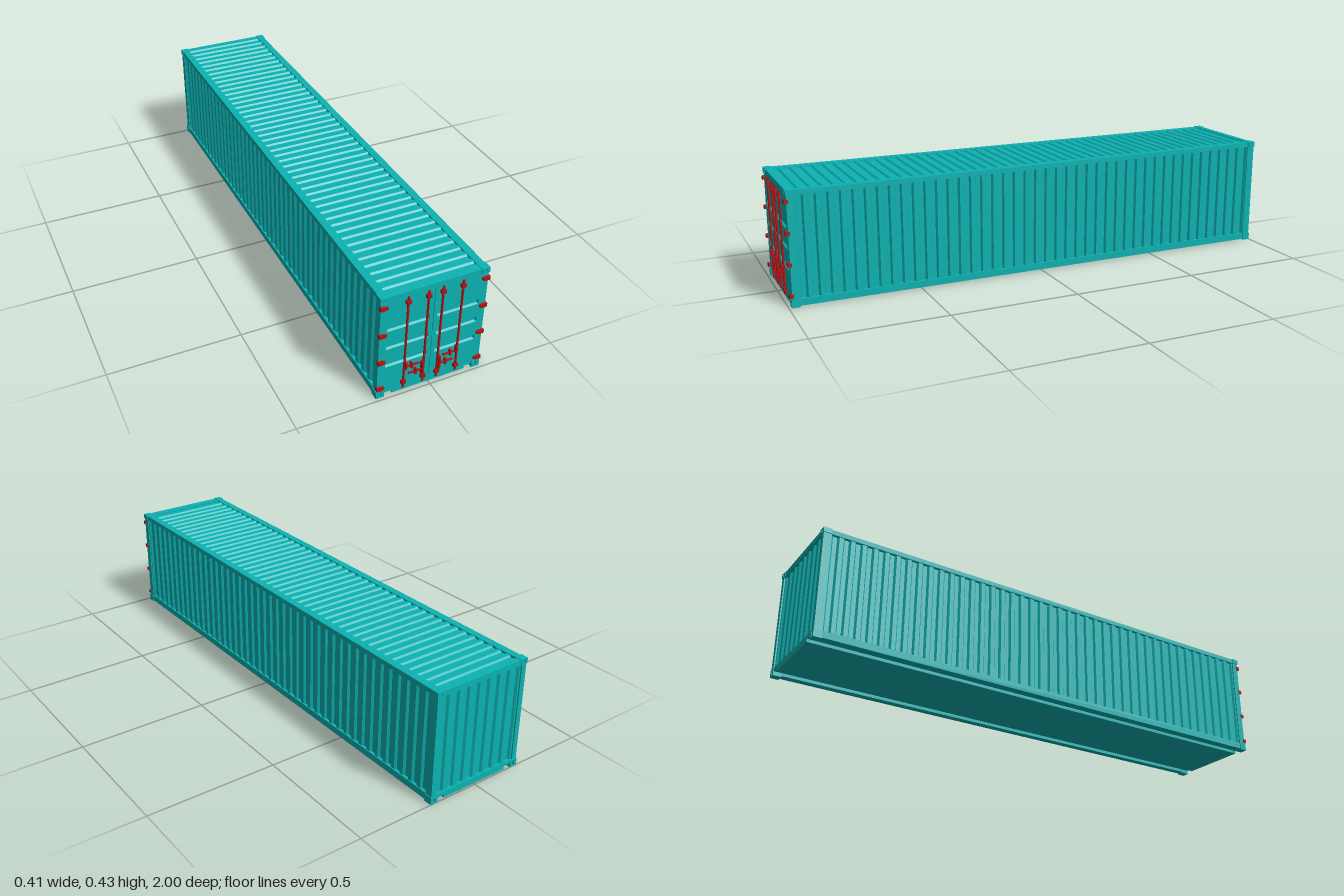
import * as THREE from 'three';

const teal = new THREE.MeshStandardMaterial({ color: 0x0db3b3, flatShading: true });
const tealInside = new THREE.MeshStandardMaterial({ color: 0x0db3b3, flatShading: true, side: THREE.BackSide });
const red = new THREE.MeshStandardMaterial({ color: 0xb81414 });

export function createModel() {
  const root = new THREE.Group();
  root.name = 'shippingContainer';

  const add = (name, geometry, material = teal, x = 0, y = 0, z = 0) => {
    const mesh = new THREE.Mesh(geometry, material);
    mesh.name = name;
    mesh.position.set(x, y, z);
    root.add(mesh);
    return mesh;
  };
  // Box given by its minimum and maximum on each axis
  const box = (name, x0, x1, y0, y1, z0, z1, material) =>
    add(name, new THREE.BoxGeometry(Math.abs(x1 - x0), y1 - y0, z1 - z0), material,
      (x0 + x1) / 2, (y0 + y1) / 2, (z0 + z1) / 2);
  const polygon = (points) => new THREE.Shape(points.map(([x, y]) => new THREE.Vector2(x, y)));
  const rectPath = (x0, x1, y0, y1) => new THREE.Path(
    [[x0, y0], [x0, y1], [x1, y1], [x1, y0]].map(([x, y]) => new THREE.Vector2(x, y)));
  const extrude = (shape, depth) => new THREE.ExtrudeGeometry(shape, { depth, bevelEnabled: false });

  // Corrugated sheet: runs along z, stands along y, outer ridges at x = 0
  const corrugated = (length, height, count, depth) => {
    const pitch = length / count;
    const points = [[-length / 2, -depth - 0.005], [length / 2, -depth - 0.005]];
    for (let i = count - 1; i >= 0; i--) {
      const u = -length / 2 + i * pitch;
      points.push([u + pitch, 0], [u + pitch * 0.82, 0], [u + pitch * 0.68, -depth],
        [u + pitch * 0.32, -depth], [u + pitch * 0.18, 0]);
    }
    points.push([-length / 2, 0]);
    const geometry = extrude(polygon(points), height);
    geometry.translate(0, 0, -height / 2);
    return geometry.applyMatrix4(new THREE.Matrix4().makeBasis(
      new THREE.Vector3(0, 0, 1), new THREE.Vector3(1, 0, 0), new THREE.Vector3(0, 1, 0)));
  };

  // Walls and roof
  const sideWall = corrugated(1.936, 0.386, 43, 0.008);
  add('leftWall', sideWall, teal, 0.196, 0.22, -0.005);
  add('rightWall', sideWall, teal, -0.196, 0.22, -0.005).rotation.y = Math.PI;
  add('backWall', corrugated(0.364, 0.386, 8, 0.008), teal, 0, 0.22, -0.993).rotation.y = Math.PI / 2;
  add('roof', corrugated(1.95, 0.346, 46, 0.006), teal, 0, 0.428, -0.006).rotation.z = Math.PI / 2;

  // Floor with two lengthwise channels beside the central slab
  box('floor', -0.195, 0.195, 0.016, 0.028, -0.995, 0.975);
  box('floorSlab', -0.142, 0.142, 0.004, 0.017, -0.995, 0.975);

  // Long rails and corner posts
  for (const s of [-1, 1]) {
    box('bottomRail', s * 0.172, s * 0.2, 0.004, 0.03, -0.985, 0.975);
    box('topRail', s * 0.172, s * 0.2, 0.412, 0.43, -0.985, 0.975);
    box('backPost', s * 0.18, s * 0.2, 0.02, 0.42, -0.998, -0.968);
    box('frontPost', s * 0.18, s * 0.2, 0.02, 0.42, 0.96, 0.98);
  }
  box('backTopRail', -0.19, 0.19, 0.41, 0.43, -0.998, -0.975);
  box('backBottomRail', -0.19, 0.19, 0.016, 0.03, -0.998, -0.975);
  box('backSill', -0.142, 0.142, 0.004, 0.02, -0.998, -0.975);
  box('frontTopRail', -0.2, 0.2, 0.415, 0.43, 0.955, 0.978);

  // Door end: skin with openings for the pressed grooves and the centre seam
  const grooveRows = [0.1395, 0.2175, 0.2945];
  const skin = polygon([[-0.2, 0.016], [-0.142, 0.016], [-0.142, 0.004], [0.142, 0.004],
    [0.142, 0.016], [0.2, 0.016], [0.2, 0.43], [-0.2, 0.43]]);
  for (const y of grooveRows) {
    for (const s of [-1, 1]) skin.holes.push(rectPath(s * 0.0935 - 0.0785, s * 0.0935 + 0.0785, y - 0.01, y + 0.01));
  }
  skin.holes.push(rectPath(-0.001, 0.001, 0.028, 0.208), rectPath(-0.001, 0.001, 0.227, 0.413));
  add('doors', extrude(skin, 0.008), teal, 0, 0, 0.978);
  box('doorBacking', -0.19, 0.19, 0.017, 0.428, 0.966, 0.978);

  // Pressed grooves: inward-facing boxes that narrow towards the back
  const groove = new THREE.BoxGeometry(0.157, 0.02, 0.0075);
  const p = groove.attributes.position;
  for (let i = 0; i < p.count; i++) {
    if (p.getZ(i) < 0) p.setXY(i, p.getX(i) * 0.97, p.getY(i) * 0.55);
  }
  groove.computeVertexNormals();
  for (const y of grooveRows) {
    for (const s of [-1, 1]) add('doorGroove', groove, tealInside, s * 0.0935, y, 0.98225);
  }

  // Corner castings with a slotted face at each end
  for (const s of [-1, 1]) {
    for (const [y0, y1] of [[0, 0.028], [0.412, 0.432]]) {
      const xa = s > 0 ? 0.172 : -0.203;
      const xb = xa + 0.031;
      const face = polygon([[xa, y0], [xb, y0], [xb, y1], [xa, y1]]);
      face.holes.push(rectPath(s * 0.1875 - 0.004, s * 0.1875 + 0.004, y0 + 0.004, y1 - 0.004));
      const plate = extrude(face, 0.006);
      add('cornerCastingFace', plate, teal, 0, 0, 0.983);
      add('cornerCastingFace', plate, teal, 0, 0, -1);
      box('cornerCasting', xa, xb, y0, y1, 0.958, 0.983);
      box('cornerCasting', xa, xb, y0, y1, -0.994, -0.968);
    }
  }

  // Door hardware, mirrored for both leaves
  const hardwareRows = [0.043, 0.391];
  for (const s of [-1, 1]) {
    for (const x of [0.027, 0.102]) {
      add('lockingRod', new THREE.CylinderGeometry(0.004, 0.004, 0.393, 12), red, s * x, 0.2165, 0.991);
      for (const y of hardwareRows) box('rodBracket', s * (x - 0.0085), s * (x + 0.0085), y - 0.007, y + 0.007, 0.985, 0.997, red);
    }
    for (const y of [0.043, 0.16, 0.276, 0.391]) {
      const outline = [[0.176, -0.004], [0.187, -0.007], [0.203, -0.007], [0.203, 0.007], [0.187, 0.007], [0.176, 0.004]];
      add('hinge', extrude(polygon(outline.map(([x, v]) => [s * x, v])), 0.015), red, 0, y, 0.98);
    }
    // Handle: lever bar, its catch and the pivot plate on the rod
    for (const [y, x0, x1, catchX, pivotX] of [[0.111, 0.045, 0.1, 0.075, 0.098], [0.078, 0.03, 0.087, 0.058, 0.033]]) {
      box('handleLever', s * x0, s * x1, y - 0.0025, y + 0.0025, 0.99, 0.996, red);
      box('handleCatch', s * (catchX - 0.0035), s * (catchX + 0.0035), y - 0.012, y + 0.012, 0.985, 0.998, red);
      const reach = pivotX < 0.05 ? 0.027 : 0.016;
      box('handlePivot', s * (pivotX - 0.003), s * (pivotX + 0.003), y + 0.006 - reach, y + 0.006 + reach, 0.985, 1, red);
    }
  }
  return root;
}
